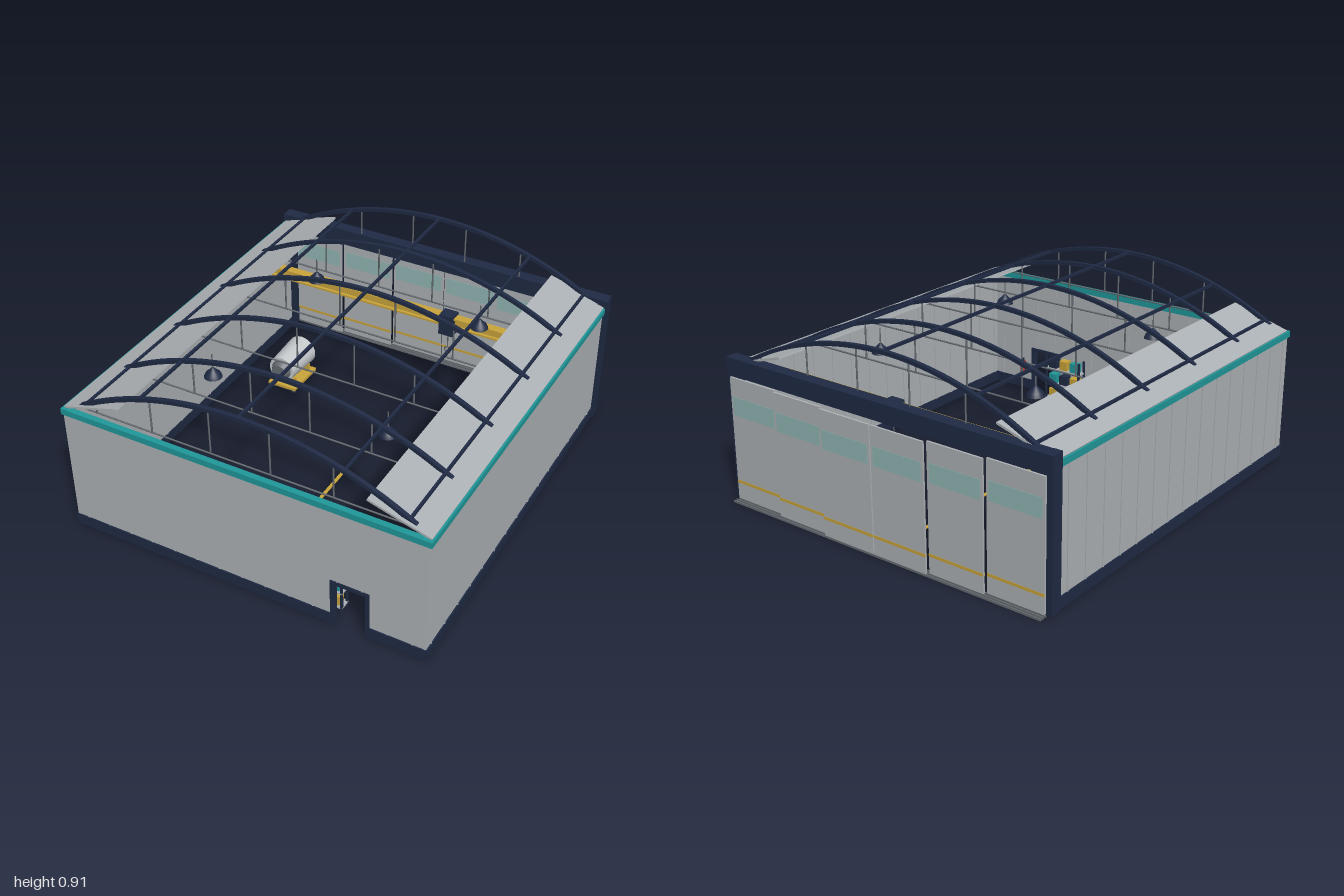
import * as THREE from 'three';

const mat = (name, color) => {
  const m = new THREE.MeshStandardMaterial({ color });
  m.name = name;
  return m;
};

export function createModel() {
  const root = new THREE.Group();
  root.name = 'hangar';
  const grey = mat('panel grey', 0xaeb3b7);
  const navy = mat('navy', 0x1f2a44);
  const teal = mat('teal', 0x20999b);
  const yellow = mat('yellow', 0xcba63c);
  const red = mat('red', 0xb53a36);
  const brown = mat('bench brown', 0x9c6b45);
  const glass = mat('window tint', 0x93b8b6);
  const steel = mat('steel', 0x666c72);
  const silver = mat('silver', 0xc6cacd);

  const group = (name, parent = root) => {
    const g = new THREE.Group();
    g.name = name;
    parent.add(g);
    return g;
  };
  const add = (name, geo, m, parent, x = 0, y = 0, z = 0) => {
    const o = new THREE.Mesh(geo, m);
    o.name = name;
    o.position.set(x, y, z);
    parent.add(o);
    return o;
  };
  // Box given by its min and max on each axis
  const box = (name, m, [x0, x1], [y0, y1], [z0, z1], parent = root) =>
    add(name, new THREE.BoxGeometry(x1 - x0, y1 - y0, z1 - z0), m, parent,
      (x0 + x1) / 2, (y0 + y1) / 2, (z0 + z1) / 2);
  // Straight bar between two points
  const bar = (name, m, a, b, r, parent, sides = 6) => {
    const p = new THREE.Vector3(...a), q = new THREE.Vector3(...b), d = q.clone().sub(p);
    const o = add(name, new THREE.CylinderGeometry(r, r, d.length(), sides), m, parent);
    o.position.copy(p).add(q).multiplyScalar(0.5);
    o.quaternion.setFromUnitVectors(new THREE.Vector3(0, 1, 0), d.normalize());
    return o;
  };

  // Side walls with base, trim and ribs
  for (const s of [-1, 1]) {
    const side = (a, b) => (s > 0 ? [a, b] : [-b, -a]);
    const w = group(s > 0 ? 'leftWall' : 'rightWall');
    box('wallPanel', grey, side(0.87, 0.888), [0.06, 0.63], [-0.9, 0.995], w);
    box('wallBase', navy, side(0.865, 0.895), [0.008, 0.062], [-0.9, 0.998], w);
    box('wallTrim', teal, side(0.865, 0.898), [0.63, 0.66], [-0.9, 0.998], w);
    for (let i = 0; i < 15; i++) {
      const z = -0.83 + i * 0.127;
      box('wallRib', grey, side(0.866, 0.892), [0.06, 0.63], [z - 0.004, z + 0.004], w);
    }
  }

  // Front wall with the door opening
  const front = group('frontWall');
  const wall = new THREE.Shape([[-0.888, 0.06], [0.45, 0.06], [0.45, 0.245], [0.615, 0.245], [0.615, 0.06],
    [0.888, 0.06], [0.888, 0.63], [-0.888, 0.63]].map(p => new THREE.Vector2(...p)));
  add('wallPanel', new THREE.ExtrudeGeometry(wall, { depth: 0.016, bevelEnabled: false }), grey, front, 0, 0, 0.978);
  box('wallBase', navy, [-0.895, 0.45], [0.008, 0.062], [0.974, 1], front);
  box('wallBase', navy, [0.615, 0.895], [0.008, 0.062], [0.974, 1], front);
  box('wallTrim', teal, [-0.898, 0.898], [0.63, 0.66], [0.972, 1], front);
  for (let i = 0; i < 15; i++) {
    const x = -0.826 + i * 0.118;
    box('wallRib', grey, [x - 0.004, x + 0.004], [x > 0.44 && x < 0.62 ? 0.25 : 0.06, 0.63], [0.975, 0.997], front);
  }
  box('doorJamb', navy, [0.44, 0.458], [0.008, 0.25], [0.97, 1], front);
  box('doorJamb', navy, [0.607, 0.625], [0.008, 0.25], [0.97, 1], front);
  box('doorLintel', navy, [0.44, 0.625], [0.235, 0.253], [0.97, 1], front);

  // Rear portal
  const portal = group('rearPortal');
  for (const s of [-1, 1]) box('pillar', navy, [s * 0.88 - 0.022, s * 0.88 + 0.022], [0.008, 0.7], [-0.952, -0.892], portal);
  box('header', navy, [-0.903, 0.903], [0.615, 0.7], [-0.957, -0.895], portal);
  for (const z of [-0.962, -0.979, -0.995]) box('floorTrack', steel, [-0.88, 0.88], [0, 0.01], [z - 0.003, z + 0.003], portal);

  // Six staggered sliding doors
  for (let i = 0; i < 6; i++) {
    const x = (i - 2.5) * 0.293, z = [-0.962, -0.978, -0.994][Math.min(i, 5 - i)];
    const d = group('slidingDoor');
    const h = 0.143;
    box('doorPanel', grey, [x - h, x + h], [0.012, 0.612], [z - 0.005, z + 0.005], d);
    for (const s of [-1, 1]) {
      const face = z + s * 0.0052;
      box('doorWindow', glass, [x - h + 0.012, x + h - 0.012], [0.43, 0.52], [face - 0.001, face + 0.001], d);
      box('doorStripe', yellow, [x - h, x + h], [0.092, 0.106], [face - 0.001, face + 0.001], d);
    }
  }

  // Sloped roof strips along both sides
  for (const s of [-1, 1]) {
    const r = add('roofStrip', new THREE.BoxGeometry(0.3, 0.01, 1.9), grey, root, s * 0.745, 0.703, 0.033);
    r.rotation.z = -s * 0.29;
  }

  // Arched trusses with tie rods and hangers
  const R = 1.586, arcY = x => 0.905 - R + Math.sqrt(R * R - x * x);
  const half = Math.asin(0.81 / R);
  const trusses = group('roofTrusses');
  for (const z of [0.957, 0.637, 0.247, -0.145, -0.535, -0.905]) {
    const arc = new THREE.Shape();
    arc.absarc(0, 0, R + 0.009, Math.PI / 2 - half, Math.PI / 2 + half, false);
    arc.absarc(0, 0, R - 0.009, Math.PI / 2 + half, Math.PI / 2 - half, true);
    add('arch', new THREE.ExtrudeGeometry(arc, { depth: 0.02, bevelEnabled: false, curveSegments: 16 }),
      navy, trusses, 0, 0.905 - R, z - 0.01);
    bar('tieRod', steel, [-0.81, 0.67, z], [0.81, 0.67, z], 0.004, trusses);
    for (const x of [-0.73, -0.44, -0.145, 0.145, 0.44, 0.73])
      bar('hanger', steel, [x, 0.67, z], [x, arcY(x), z], 0.004, trusses);
  }
  for (const x of [-0.78, -0.49, 0, 0.49, 0.78])
    box('purlin', navy, [x - 0.006, x + 0.006], [arcY(x) - 0.005, arcY(x) + 0.008], [-0.91, 0.96], trusses);

  // Pendant lamps
  const shade = new THREE.LatheGeometry([[0.042, 0], [0.034, 0.018], [0.018, 0.033], [0.008, 0.045], [0.001, 0.047]]
    .map(p => new THREE.Vector2(...p)), 20);
  const shadeMat = mat('lamp navy', 0x1f2a44);
  shadeMat.side = THREE.DoubleSide;
  for (const x of [-0.44, 0.44]) for (const z of [-0.44, 0.49]) {
    const l = group('pendantLamp');
    add('lampShade', shade, shadeMat, l, x, 0.67, z);
    add('lampBulb', new THREE.SphereGeometry(0.014, 12, 8), yellow, l, x, 0.68, z);
    bar('lampRod', steel, [x, 0.71, z], [x, 0.79, z], 0.003, l);
  }

  // Overhead crane
  const crane = group('overheadCrane');
  box('topFlange', yellow, [-0.86, 0.86], [0.54, 0.55], [-0.66, -0.615], crane);
  box('web', yellow, [-0.86, 0.86], [0.505, 0.54], [-0.645, -0.63], crane);
  box('bottomFlange', yellow, [-0.86, 0.86], [0.495, 0.505], [-0.66, -0.615], crane);
  box('hoist', navy, [0.155, 0.23], [0.45, 0.56], [-0.672, -0.603], crane);
  bar('hoistCable', steel, [0.193, 0.45, -0.638], [0.193, 0.36, -0.638], 0.003, crane);
  add('hook', new THREE.TorusGeometry(0.014, 0.004, 6, 14, 4.6), steel, crane, 0.193, 0.347, -0.638);

  // Floor markings
  const marks = group('floorMarkings');
  box('centreLine', yellow, [-0.008, 0.008], [0, 0.005], [-0.88, 0.71], marks);
  box('stopBar', yellow, [-0.115, 0.115], [0, 0.005], [0.712, 0.737], marks);
  for (let i = 0; i < 6; i++) {
    const m = add('hazardStripe', new THREE.BoxGeometry(0.018, 0.005, 0.16), yellow, marks, -0.51 - i * 0.06, 0.0025, 0.725);
    m.rotation.y = 0.58;
  }

  // Workbench
  const bench = group('workbench');
  box('benchTop', brown, [-0.83, -0.345], [0.115, 0.132], [0.865, 0.968], bench);
  for (const x of [-0.81, -0.59, -0.37]) box('benchLeg', steel, [x - 0.008, x + 0.008], [0.005, 0.115], [0.875, 0.96], bench);

  // Step ladder rising towards the rear
  const stairs = group('accessSteps');
  for (let i = 0; i < 5; i++) {
    const z = 0.85 - i * 0.036, y = 0.035 + i * 0.034;
    box('step', yellow, [-0.38, -0.285], [y - 0.006, y + 0.002], [z - 0.033, z], stairs);
  }
  for (const x of [-0.383, -0.282]) {
    bar('stringer', navy, [x, 0.01, 0.855], [x, 0.175, 0.672], 0.005, stairs);
    bar('handrail', navy, [x, 0.1, 0.85], [x, 0.25, 0.675], 0.004, stairs);
    bar('frontPost', navy, [x, 0.01, 0.85], [x, 0.1, 0.85], 0.004, stairs);
    bar('rearPost', navy, [x, 0.005, 0.675], [x, 0.25, 0.675], 0.004, stairs);
  }

  // Tool chest
  const chest = group('toolChest');
  box('chestBody', red, [-0.215, -0.105], [0.018, 0.15], [0.87, 0.932], chest);
  for (let i = 0; i < 4; i++) box('drawerPull', silver, [-0.195, -0.125], [0.04 + i * 0.03, 0.046 + i * 0.03], [0.865, 0.87], chest);
  for (const x of [-0.2, -0.12]) for (const z of [0.885, 0.918])
    add('chestWheel', new THREE.SphereGeometry(0.01, 10, 6), navy, chest, x, 0.01, z);

  // Storage shelf with boxes
  const shelf = group('storageShelf');
  for (const x of [0.245, 0.455]) for (const z of [0.877, 0.925])
    box('shelfPost', navy, [x - 0.005, x + 0.005], [0.005, 0.27], [z - 0.005, z + 0.005], shelf);
  const boxColours = [navy, teal, yellow];
  for (let l = 0; l < 3; l++) {
    const y = 0.03 + l * 0.085;
    box('shelfBoard', grey, [0.24, 0.46], [y, y + 0.008], [0.872, 0.93], shelf);
    for (let i = 0; i < 3; i++) {
      const x = 0.282 + i * 0.068;
      box('storageBox', boxColours[(i + 2 - l + 1) % 3], [x - 0.023, x + 0.023], [y + 0.008, y + 0.058], [0.88, 0.922], shelf);
    }
  }

  // Engine on a stand
  const engine = group('engineOnStand');
  const turn = (name, r0, r1, len, m, z) => {
    const e = add(name, new THREE.CylinderGeometry(r0, r1, len, 24), m, engine, -0.6, 0.14, z);
    e.rotation.x = Math.PI / 2;
  };
  turn('engineBody', 0.07, 0.08, 0.21, silver, -0.44);
  turn('intakeDisc', 0.066, 0.066, 0.006, red, -0.547);
  turn('intakeHub', 0.02, 0.02, 0.012, navy, -0.549);
  turn('exhaust', 0.04, 0.055, 0.03, steel, -0.32);
  box('standDeck', yellow, [-0.68, -0.52], [0.03, 0.045], [-0.55, -0.33], engine);
  for (const z of [-0.51, -0.37]) box('cradle', yellow, [-0.66, -0.54], [0.045, 0.085], [z - 0.01, z + 0.01], engine);
  for (const x of [-0.66, -0.54]) for (const z of [-0.53, -0.35])
    add('standWheel', new THREE.SphereGeometry(0.015, 10, 6), navy, engine, x, 0.015, z);

  // Two-tier service cart
  const cart = group('serviceCart');
  for (const y of [0.045, 0.12]) box('cartTray', red, [0.585, 0.7], [y, y + 0.018], [-0.375, -0.31], cart);
  for (const x of [0.592, 0.693]) for (const z of [-0.368, -0.317]) {
    bar('cartLeg', steel, [x, 0.015, z], [x, 0.13, z], 0.004, cart);
    add('cartWheel', new THREE.SphereGeometry(0.01, 10, 6), navy, cart, x, 0.01, z);
  }

  // Fire extinguisher beside the door
  const ext = group('fireExtinguisher');
  bar('bottle', red, [0.67, 0.1, 0.955], [0.67, 0.17, 0.955], 0.016, ext, 14);
  bar('valve', navy, [0.67, 0.17, 0.955], [0.67, 0.19, 0.955], 0.006, ext, 8);

  return root;
}
